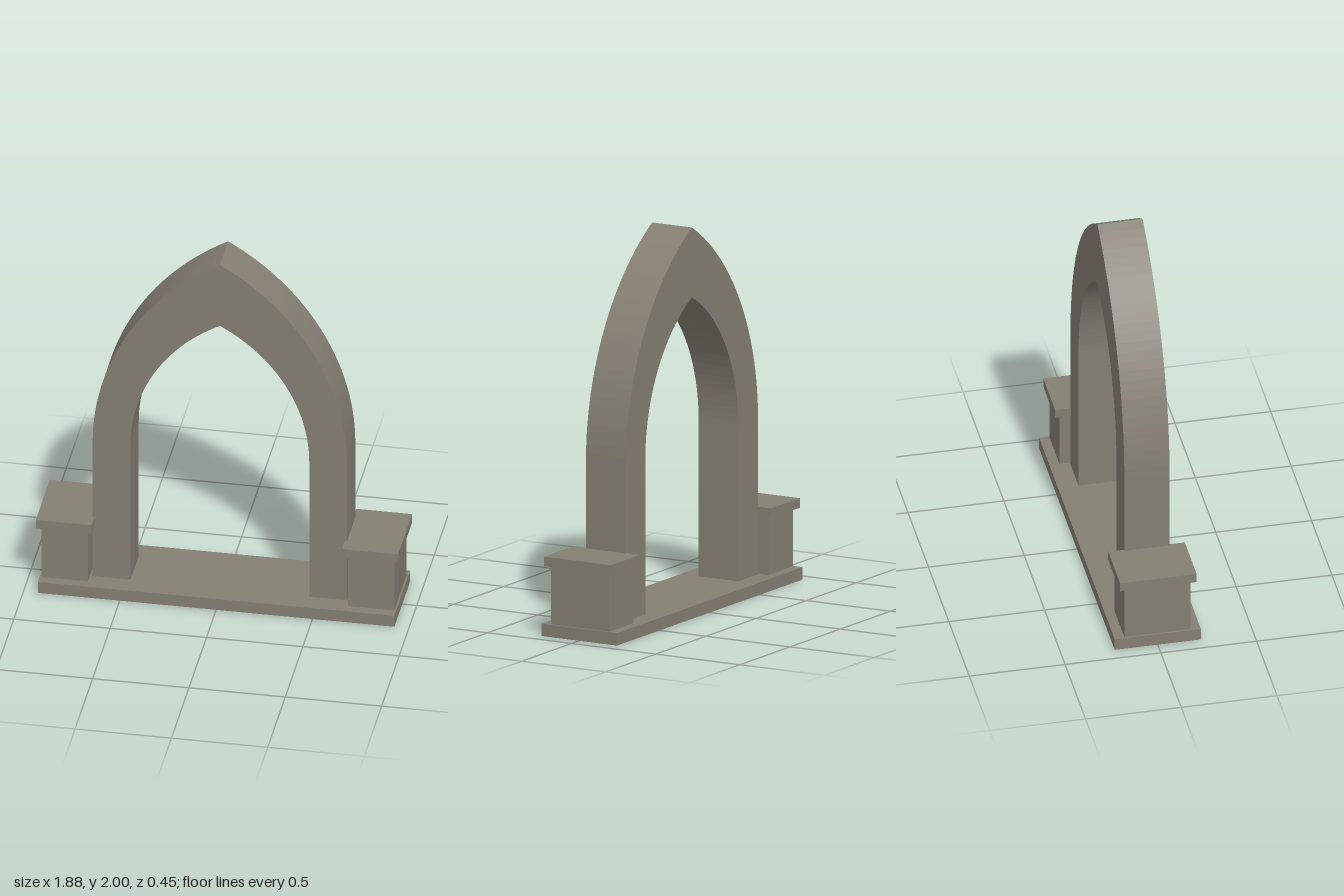
import * as THREE from 'three';

export function createModel() {
  const group = new THREE.Group();
  const stone = new THREE.MeshStandardMaterial({ color: 0x857f73, flatShading: true });
  stone.name = 'stone';

  // Box given by its centre x, bottom and top y, width and depth
  function block(name, x, y0, y1, width, depth) {
    const mesh = new THREE.Mesh(new THREE.BoxGeometry(width, y1 - y0, depth), stone);
    mesh.position.set(x, (y0 + y1) / 2, 0);
    mesh.name = name;
    group.add(mesh);
  }

  const baseTop = 0.065;
  const spring = 0.87;

  // Pointed outline: straight legs, then two arcs meeting at the apex
  function pointedOutline(halfWidth, apex, steps = 28) {
    const rise = apex - spring;
    const radius = (halfWidth ** 2 + rise ** 2) / (2 * halfWidth);
    const offset = radius - halfWidth;
    const end = Math.atan2(rise, offset);
    const right = [new THREE.Vector2(halfWidth, baseTop)];
    for (let i = 0; i <= steps; i++) {
      const a = (end * i) / steps;
      right.push(new THREE.Vector2(radius * Math.cos(a) - offset, spring + radius * Math.sin(a)));
    }
    const left = right.slice(0, -1).reverse().map((p) => new THREE.Vector2(-p.x, p.y));
    return [...right, ...left];
  }

  // Base slab
  block('base', 0, 0, baseTop, 1.85, 0.45);

  // Pointed arch
  const depth = 0.236;
  const shape = new THREE.Shape([
    ...pointedOutline(0.66, 2),
    ...pointedOutline(0.464, 1.635).reverse(),
  ]);
  const archGeometry = new THREE.ExtrudeGeometry(shape, { depth, bevelEnabled: false });
  archGeometry.translate(0, 0, -depth / 2);
  const arch = new THREE.Mesh(archGeometry, stone);
  arch.name = 'pointedArch';
  group.add(arch);

  // Side pedestals with overhanging caps
  for (const [side, s] of [['left', 1], ['right', -1]]) {
    block(side + 'Pedestal', s * 0.795, baseTop, 0.37, 0.24, 0.345);
    block(side + 'PedestalCap', s * 0.795, 0.37, 0.42, 0.29, 0.4);
  }

  return group;
}
